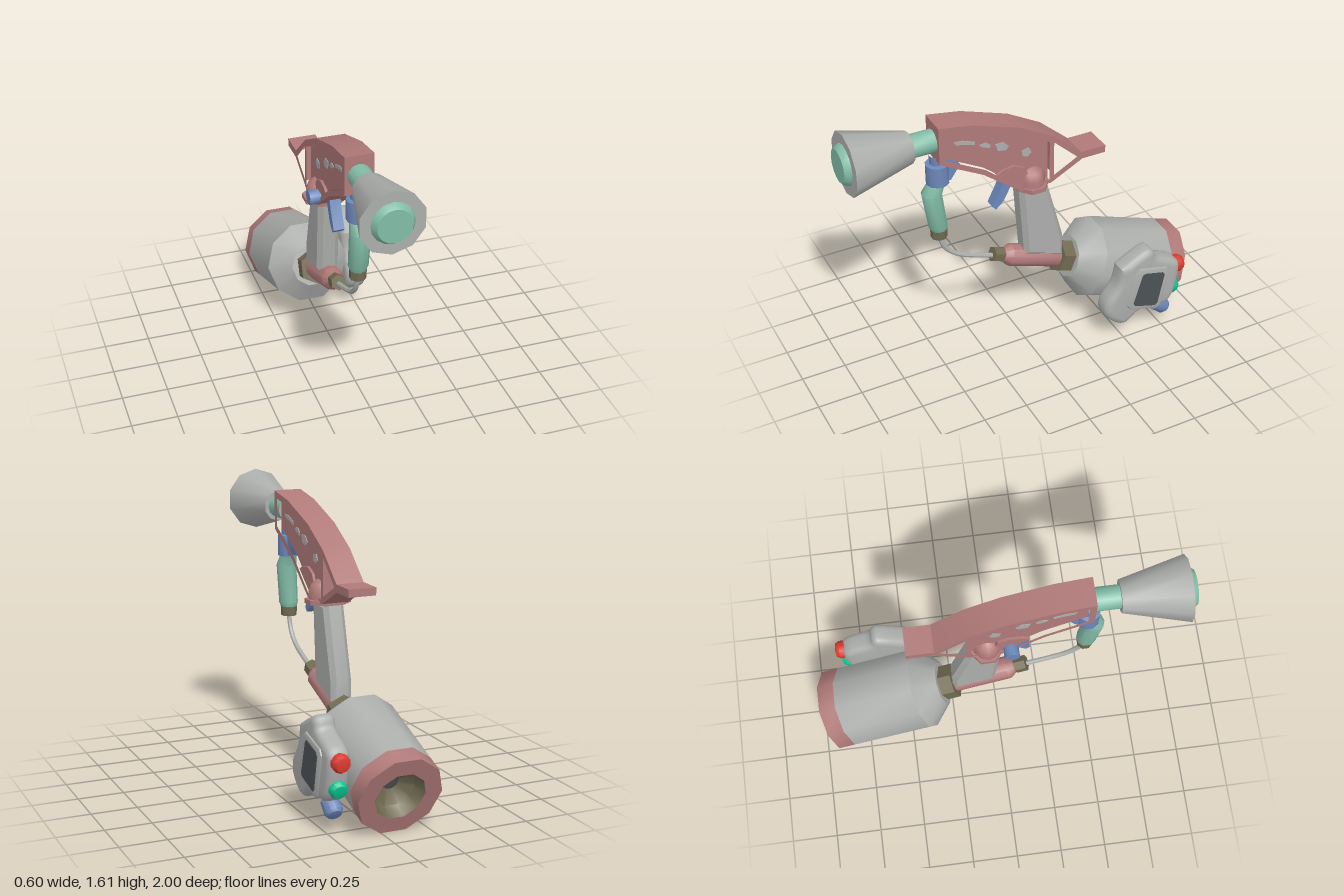
import * as THREE from 'three';
import { toCreasedNormals } from 'three/addons/utils/BufferGeometryUtils.js';

const CX = -0.0675; // centre plane of the gun
const DEG = Math.PI / 180;

function mat(name, color) {
  const m = new THREE.MeshStandardMaterial({ color });
  m.name = name;
  return m;
}

export function createModel() {
  const rose = mat('rose', 0xb07a79);
  const grey = mat('grey', 0xacaeac);
  const mint = mat('mint', 0x82bca7);
  const blue = mat('blue', 0x6c88ba);
  const brown = mat('brown', 0x706a50);
  const red = mat('red', 0xdb3b30);
  const green = mat('green', 0x08c690);
  const dark = mat('dark', 0x4c5255);

  const root = new THREE.Group();
  root.name = 'sprayGun';

  const add = (name, geo, material, parent = root, x = 0, y = 0, z = 0) => {
    const m = new THREE.Mesh(toCreasedNormals(geo, 0.7), material);
    m.name = name;
    m.position.set(x, y, z);
    parent.add(m);
    return m;
  };

  // Lathe of [radius, height] pairs around y; rising profiles face outwards
  const lathe = (pts, sides, start = 0) =>
    new THREE.LatheGeometry(pts.map(p => new THREE.Vector2(...p)), sides, start);
  // The same, running along z
  const latheZ = (pts, sides, start) => lathe(pts, sides, start).rotateX(Math.PI / 2);

  // Side profile of [z, y] pairs, extruded along x from x0 to x1
  const toV2 = pts => pts.map(([z, y]) => new THREE.Vector2(-z, y));
  const plate = (pts, x0, x1, { holes = [], bevel = 0, segments = 1, smooth = false } = {}) => {
    let v = toV2(pts);
    if (smooth) v = new THREE.SplineCurve([...v, v[0]]).getPoints(44).slice(0, -1);
    const shape = new THREE.Shape(v);
    holes.forEach(h => shape.holes.push(new THREE.Path(toV2(h))));
    const geo = new THREE.ExtrudeGeometry(shape, {
      depth: x1 - x0 - 2 * bevel, bevelEnabled: bevel > 0, bevelThickness: bevel,
      bevelSize: bevel, bevelOffset: -bevel, bevelSegments: segments,
    });
    return geo.translate(0, 0, bevel).rotateY(Math.PI / 2).translate(x0, 0, 0);
  };

  // Nozzle
  add('nozzleCone', latheZ([[0, 0.62], [0.085, 0.62], [0.172, 0.965], [0, 0.965]], 10), grey, root, CX, 1.447, 0);
  add('nozzleLens', latheZ([[0.113, 0.96], [0.108, 0.975], [0.09, 1], [0, 1]], 16), mint, root, CX, 1.447, 0);
  add('nozzleTube', latheZ([[0.062, 0.47], [0.062, 0.625]], 12), mint, root, CX, 1.447, 0);

  // Body frame with a recessed side panel and an open tail brace
  const outline = [[0.49, 1.556], [0.30, 1.524], [0.032, 1.433], [-0.16, 1.326], [-0.33, 1.176],
    [-0.476, 1.176], [-0.476, 1.134], [-0.337, 1.134], [-0.15, 1.037], [0.03, 1.037],
    [0.123, 1.11], [0.246, 1.208], [0.49, 1.342]];
  const recess = [[0.455, 1.513], [0.31, 1.492], [0.043, 1.4], [-0.139, 1.296], [-0.139, 1.06],
    [0.025, 1.06], [0.11, 1.13], [0.235, 1.235], [0.455, 1.358]];
  const brace = [[-0.165, 1.285], [-0.305, 1.155], [-0.165, 1.08]];
  add('bodyFrame', plate(outline, -0.145, 0.01, { holes: [recess, brace] }), rose);
  add('bodyPanel', plate(recess, -0.12, -0.015), rose);
  add('pivotBoss', plate([[0.165, 1.17], [0.13, 1.19], [0.065, 1.2], [0, 1.17], [-0.02, 1.12],
    [-0.02, 1.05], [0.02, 1.055], [0.11, 1.125]], -0.135, 0), rose);

  // Worn paint patches on both panel sides
  const patches = [
    [[0.40, 1.438], [0.35, 1.434], [0.28, 1.408], [0.283, 1.39], [0.33, 1.405], [0.385, 1.418]],
    [[0.257, 1.38], [0.22, 1.385], [0.193, 1.364], [0.198, 1.347], [0.245, 1.364]],
    [[0.166, 1.358], [0.118, 1.358], [0.09, 1.326], [0.107, 1.305], [0.155, 1.315]],
    [[0.016, 1.273], [-0.027, 1.283], [-0.043, 1.25], [-0.02, 1.23], [0.01, 1.24]],
  ];
  for (const p of patches)
    for (const x of [-0.124, -0.015]) add('paintPatch', plate(p, x, x + 0.004), grey);

  // Dome and flange above the handle
  const dome = add('handleDome', lathe([[0.082, 0], [0.082, 0.05], [0.07, 0.09], [0.042, 0.117], [0, 0.126]], 12),
    rose, root, CX, 1.035, -0.052);
  dome.scale.x = 1.33;
  const flange = add('handleFlange', lathe([[0, 0], [0.1, 0], [0.1, 0.025], [0, 0.025]], 8, Math.PI / 8),
    rose, root, CX, 1.022, -0.055);
  flange.scale.x = 1.28;

  // Handle
  add('handle', plate([[0.025, 1.035], [-0.14, 1.035], [-0.246, 0.636], [-0.246, 0.5], [-0.01, 0.58]],
    CX - 0.06, CX + 0.06, { bevel: 0.025 }), grey);

  // Trigger, side knob and front bracket
  add('trigger', plate([[0.1, 1.13], [0.128, 1.048], [0.176, 0.952], [0.155, 0.93], [0.112, 0.968],
    [0.07, 1.048], [0.05, 1.12]], CX - 0.03, CX + 0.03), blue);
  add('sideKnob', lathe([[0, 0], [0.04, 0], [0.04, 0.055], [0.022, 0.055], [0.022, 0.1]], 10)
    .rotateZ(-Math.PI / 2), blue, root, -0.2, 1.11, 0.067);
  add('frontBracket', plate([[0.43, 1.2], [0.41, 1.2], [0.355, 1.28], [0.43, 1.35], [0.47, 1.34]],
    CX - 0.03, CX + 0.03), blue);

  // Fore grip hanging under the front
  add('gripCollar', lathe([[0, 1.19], [0.062, 1.19], [0.062, 1.305], [0.04, 1.31], [0.04, 1.36]], 10),
    blue, root, CX, 0, 0.473);
  const grip = lathe([[0, 0.89], [0.042, 0.89], [0.053, 0.92], [0.056, 1.13], [0.046, 1.195], [0, 1.195]], 10);
  const gp = grip.attributes.position;
  for (let i = 0; i < gp.count; i++) { // bend the centre line forwards near the top
    const y = gp.getY(i);
    const centre = y < 1.14 ? 0.477 + (y - 0.89) * 0.135 : 0.478;
    gp.setZ(i, gp.getZ(i) + centre);
  }
  add('foreGrip', grip, mint, root, CX);
  add('gripEnd', lathe([[0, 0.845], [0.044, 0.845], [0.046, 0.897], [0, 0.897]], 8, Math.PI / 8),
    brown, root, CX, 0, 0.477);

  // Hose from grip to barrel
  const hosePath = new THREE.CatmullRomCurve3([[0.86, 0.478], [0.77, 0.45], [0.7, 0.385], [0.645, 0.265], [0.6, 0.14]]
    .map(([y, z]) => new THREE.Vector3(CX, y, z)));
  add('hose', new THREE.TubeGeometry(hosePath, 16, 0.014, 8), grey);

  // Tilted tank assembly: local z runs forwards from the tank's rear face
  const tank = new THREE.Group();
  tank.name = 'tankAssembly';
  tank.position.set(CX, 0.214, -0.925);
  tank.rotation.x = -20.3 * DEG;
  root.add(tank);
  const R = 0.2325, Q = Math.PI / 2;
  add('tankBody', latheZ([[R, 0.098], [R, 0.556], [0.12, 0.67], [0, 0.67]], 10, Q), grey, tank);
  add('tankRing', latheZ([[0.14, 0], [R, 0], [R, 0.098]], 10, Q), rose, tank);
  add('tankCup', latheZ([[0.045, 0.12], [0.115, 0.07], [0.14, 0]], 10, Q), brown, tank);
  add('tankOutlet', latheZ([[0, 0.12], [0.045, 0.12]], 10, Q), dark, tank);
  add('largeNut', latheZ([[0, 0.64], [0.097, 0.64], [0.097, 0.745], [0, 0.745]], 6), brown, tank);
  add('barrel', latheZ([[0.063, 0.74], [0.063, 1.06], [0.036, 1.105], [0, 1.105]], 10), rose, tank);
  add('smallNut', latheZ([[0, 1.1], [0.044, 1.1], [0.044, 1.165], [0, 1.165]], 6), brown, tank);

  // Control box on the tank's left side
  add('controlBox', plate([[-0.46, 0.51], [-0.61, 0.588], [-0.66, 0.575], [-0.685, 0.525], [-0.81, 0.465],
    [-0.835, 0.4], [-0.812, 0.25], [-0.765, 0.185], [-0.7, 0.175], [-0.585, 0.185], [-0.487, 0.122],
    [-0.375, 0.205], [-0.37, 0.3], [-0.437, 0.4]], 0.16, 0.282, { bevel: 0.035, segments: 3, smooth: true }), grey);
  add('screenBezel', plate([[-0.568, 0.495], [-0.74, 0.452], [-0.76, 0.42], [-0.713, 0.2], [-0.69, 0.178],
    [-0.515, 0.225], [-0.492, 0.26], [-0.54, 0.47]], 0.26, 0.292, { bevel: 0.012, segments: 2 }), grey);
  add('screen', plate([[-0.595, 0.457], [-0.71, 0.428], [-0.722, 0.412], [-0.685, 0.222], [-0.67, 0.21],
    [-0.54, 0.25], [-0.53, 0.267], [-0.58, 0.447]], 0.291, 0.296), dark);

  // Three domed buttons on the rear edge of the control box
  const buttons = [['redButton', red, 0.402, -0.815, 3], ['greenButton', green, 0.268, -0.785, 18],
    ['blueButton', blue, 0.15, -0.735, 38]];
  for (const [name, material, y, z, tilt] of buttons) {
    const b = add(name, lathe([[0, -0.03], [0.046, -0.03], [0.05, 0.04], [0.038, 0.06], [0, 0.068]], 10)
      .rotateX(-Q), material, root, 0.222, y, z);
    b.rotation.x = -tilt * DEG;
  }

  return root;
}
